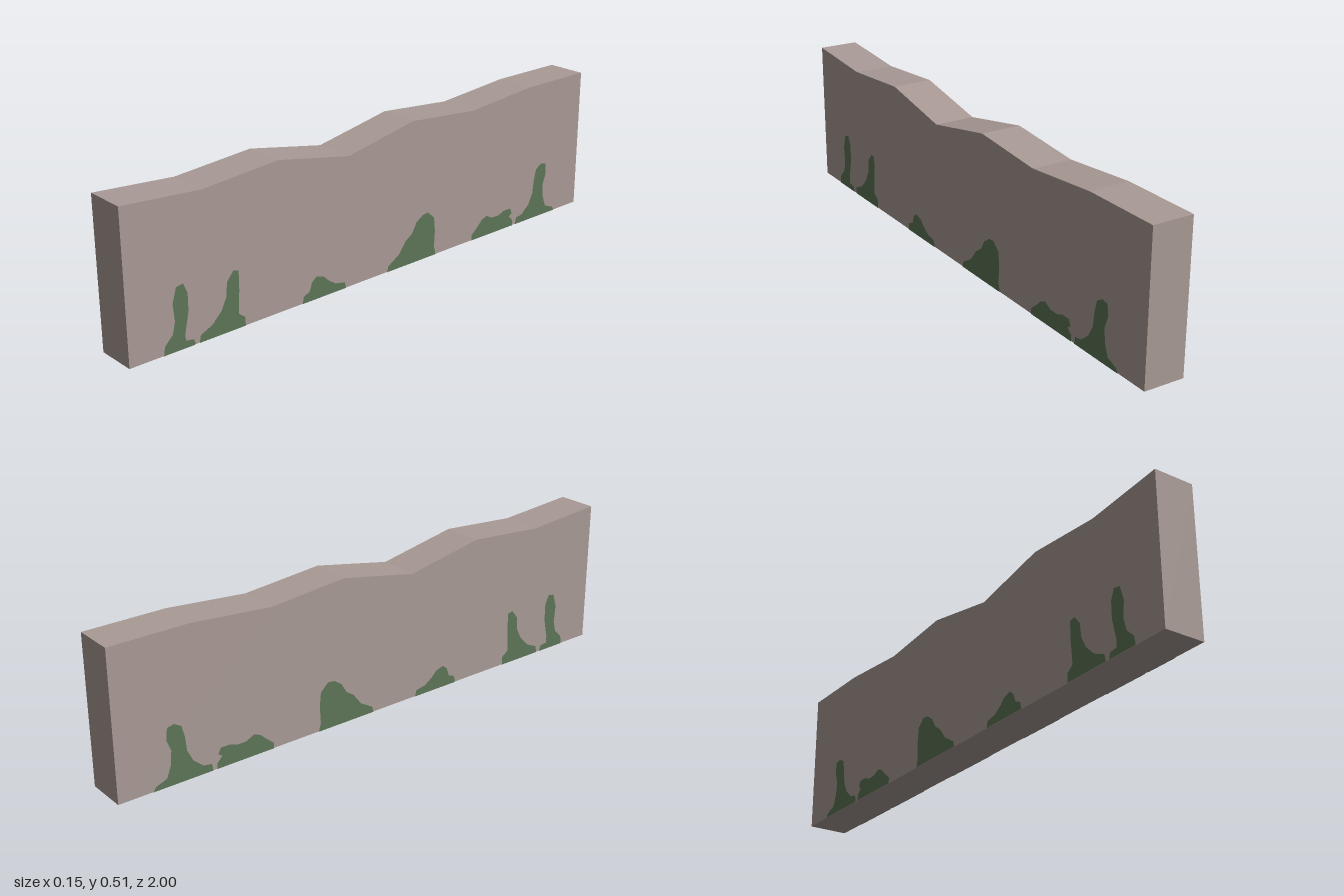
import * as THREE from 'three';

const HALF = 0.0713; // half thickness of the wall

// Outline in the (z, y) plane, drawn as a shape
const outline = (points) => new THREE.Shape(points.map(([z, y]) => new THREE.Vector2(z, y)));

// Moss outlines, each starting and ending on the ground
const moss = {
  tallFrontMoss: [[0.88, 0], [0.875, 0.03], [0.845, 0.06], [0.835, 0.1], [0.84, 0.16], [0.825, 0.21],
    [0.8, 0.215], [0.785, 0.18], [0.785, 0.12], [0.8, 0.05], [0.8, 0.025], [0.77, 0.02], [0.765, 0]],
  slopedFrontMoss: [[0.75, 0], [0.745, 0.025], [0.7, 0.045], [0.665, 0.08], [0.645, 0.12], [0.64, 0.17],
    [0.615, 0.2], [0.595, 0.195], [0.595, 0.13], [0.6, 0.05], [0.575, 0.03], [0.575, 0]],
  smallMoss: [[0.345, 0], [0.34, 0.025], [0.315, 0.035], [0.305, 0.065], [0.285, 0.08], [0.255, 0.07],
    [0.235, 0.05], [0.205, 0.03], [0.165, 0.022], [0.16, 0]],
};
const rearMoss = {
  middleMoss: [[-0.025, 0], [-0.03, 0.02], [-0.08, 0.05], [-0.11, 0.09], [-0.14, 0.11], [-0.16, 0.145],
    [-0.19, 0.165], [-0.215, 0.168], [-0.245, 0.14], [-0.25, 0.09], [-0.247, 0.03], [-0.255, 0]],
  lowMoss: [[-0.435, 0], [-0.435, 0.02], [-0.465, 0.045], [-0.485, 0.065], [-0.51, 0.075], [-0.54, 0.06],
    [-0.575, 0.06], [-0.6, 0.07], [-0.635, 0.07], [-0.645, 0.05], [-0.63, 0.04], [-0.65, 0.02], [-0.65, 0]],
  tallRearMoss: [[-0.665, 0], [-0.67, 0.025], [-0.7, 0.03], [-0.735, 0.06], [-0.755, 0.1], [-0.76, 0.15],
    [-0.77, 0.19], [-0.795, 0.205], [-0.82, 0.2], [-0.825, 0.16], [-0.81, 0.12], [-0.815, 0.07],
    [-0.83, 0.03], [-0.87, 0.015], [-0.88, 0]],
};

export function createModel() {
  const group = new THREE.Group();
  group.name = 'mossyWall';
  const stone = new THREE.MeshStandardMaterial({ color: 0xa99a95 });
  stone.name = 'stone';
  const green = new THREE.MeshStandardMaterial({ color: 0x5c7556, side: THREE.DoubleSide });
  green.name = 'mossGreen';

  // Wall with an uneven top made of seven equal steps along z
  const heights = [0.513, 0.513, 0.488, 0.513, 0.458, 0.513, 0.491, 0.513];
  const top = heights.map((h, i) => [-1 + (2 * i) / 7, h]).reverse();
  const wallGeometry = new THREE.ExtrudeGeometry(outline([[-1, 0], [1, 0], ...top]),
    { depth: 2 * HALF, bevelEnabled: false });
  wallGeometry.translate(0, 0, -HALF).rotateY(-Math.PI / 2);
  const wall = new THREE.Mesh(wallGeometry, stone);
  wall.name = 'wall';
  group.add(wall);

  // Moss patches, the same on both long faces; normals face outwards
  for (const [name, points] of Object.entries({ ...moss, ...rearMoss })) {
    for (const side of [-1, 1]) {
      const geometry = new THREE.ShapeGeometry(outline(points)).rotateY(-Math.PI / 2);
      if (side > 0) {
        // turn the patch to face +x while keeping its place along z
        geometry.scale(1, 1, -1).rotateY(Math.PI);
        const index = geometry.index;
        for (let i = 0; i < index.count; i += 3) {
          const b = index.getX(i + 1);
          index.setX(i + 1, index.getX(i + 2));
          index.setX(i + 2, b);
        }
        geometry.computeVertexNormals();
      }
      geometry.translate(side * (HALF + 0.002), 0, 0);
      const patch = new THREE.Mesh(geometry, green);
      patch.name = name + (side > 0 ? 'Left' : 'Right');
      group.add(patch);
    }
  }
  return group;
}
